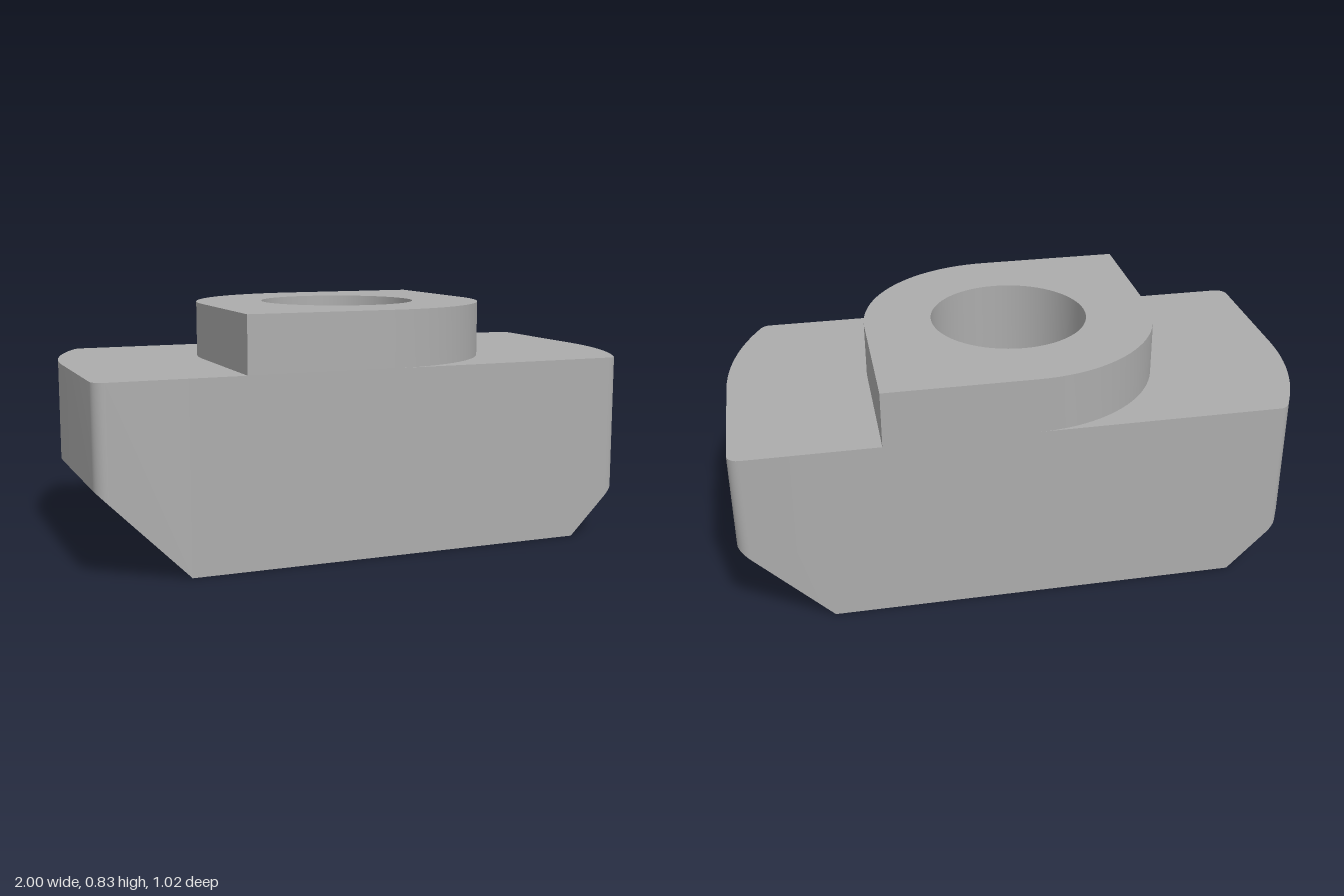
import * as THREE from 'three';
import { mergeGeometries, toCreasedNormals } from 'three/addons/utils/BufferGeometryUtils.js';

const W = 0.51;        // half depth, also the radius of the boss corners
const FLAT = 0.7;      // half length of the flat underside
const BASE = 0.637;    // top of the base
const TOP = 0.83;      // top of the boss
const BORE = 0.275;
const FILLET = 0.04;

const underside = (x) => Math.max(0, Math.abs(x) - FLAT);

// Points [x, z] along a circular arc
function arc(cx, cz, r, a0, a1, n) {
  return Array.from({ length: n + 1 }, (_, i) => {
    const a = a0 + ((a1 - a0) * i) / n;
    return [cx + r * Math.cos(a), cz + r * Math.sin(a)];
  });
}
const turn = (pts) => pts.map(([x, z]) => [-x, -z]);
const vectors = (pts) => pts.map(([x, z]) => new THREE.Vector2(x, z));

// Cap over a plan outline, at a height given by x
function cap(pts, height, up, hole) {
  const shape = new THREE.Shape(vectors(pts));
  if (hole) shape.holes.push(new THREE.Path(vectors(hole)));
  const geo = new THREE.ShapeGeometry(shape);
  const p = geo.attributes.position;
  for (let i = 0; i < p.count; i++) {
    const x = p.getX(i), z = p.getY(i);
    p.setXYZ(i, x, height(x), z);
  }
  if (up) geo.index.array.reverse();
  const flat = geo.toNonIndexed();
  flat.deleteAttribute('uv');
  flat.deleteAttribute('normal');
  return flat;
}

// Upright wall round a closed plan outline
function wall(pts, low, high) {
  const v = [];
  pts.forEach(([ax, az], i) => {
    const [bx, bz] = pts[(i + 1) % pts.length];
    const a = [ax, low(ax), az], A = [ax, high, az];
    const b = [bx, low(bx), bz], B = [bx, high, bz];
    v.push(...a, ...A, ...B, ...a, ...B, ...b);
  });
  const geo = new THREE.BufferGeometry();
  geo.setAttribute('position', new THREE.Float32BufferAttribute(v, 3));
  return geo;
}

export function createModel() {
  const group = new THREE.Group();
  group.name = 'slotNut';
  const steel = new THREE.MeshStandardMaterial({ color: 0xacacac });
  steel.name = 'grey steel';
  const add = (name, parts) => {
    const geo = mergeGeometries(parts);
    geo.computeVertexNormals();
    const mesh = new THREE.Mesh(toCreasedNormals(geo, Math.PI / 6), steel);
    mesh.name = name;
    group.add(mesh);
  };

  // Plan outline of one end: small fillet, straight side, wide arc, small fillet
  const cz = W - FILLET;
  const cx = Math.sqrt((1 - FILLET) ** 2 - cz ** 2);
  const swing = Math.atan2(cz, cx);
  const end = [
    [FLAT, -W],
    ...arc(1 - FILLET, -cz, FILLET, -Math.PI / 2, 0, 6),
    ...arc(0, 0, 1, 0, swing, 12),
    ...arc(cx, cz, FILLET, swing, Math.PI / 2, 5).slice(1),
    [FLAT, W],
  ];
  const circle = arc(0, 0, BORE, 0, Math.PI * 2, 64).slice(0, -1);
  const corner = arc(0, 0, W, 0, Math.PI / 2, 24);
  const ledge = [[W, -W], ...end, ...corner.slice().reverse()];
  const bossOutline = [[W, -W], ...corner, [-W, W], ...turn(corner)];
  const floor = [[FLAT, -W], [FLAT, W], [-FLAT, W], [-FLAT, -W]];

  // Base with sloping ends underneath and a ledge on each side of the boss
  add('base', [
    wall([...end, ...turn(end)], underside, BASE),
    cap(floor, () => 0, false, circle),
    cap(end, underside, false),
    cap(turn(end), underside, false),
    cap(ledge, () => BASE, true),
    cap(turn(ledge), () => BASE, true),
  ]);

  // Raised boss with two opposite rounded corners
  add('boss', [
    wall(bossOutline, () => BASE, TOP),
    cap(bossOutline, () => TOP, true, circle),
  ]);

  // Bore through the whole nut
  add('bore', [wall(circle.slice().reverse(), () => 0, TOP)]);

  return group;
}
